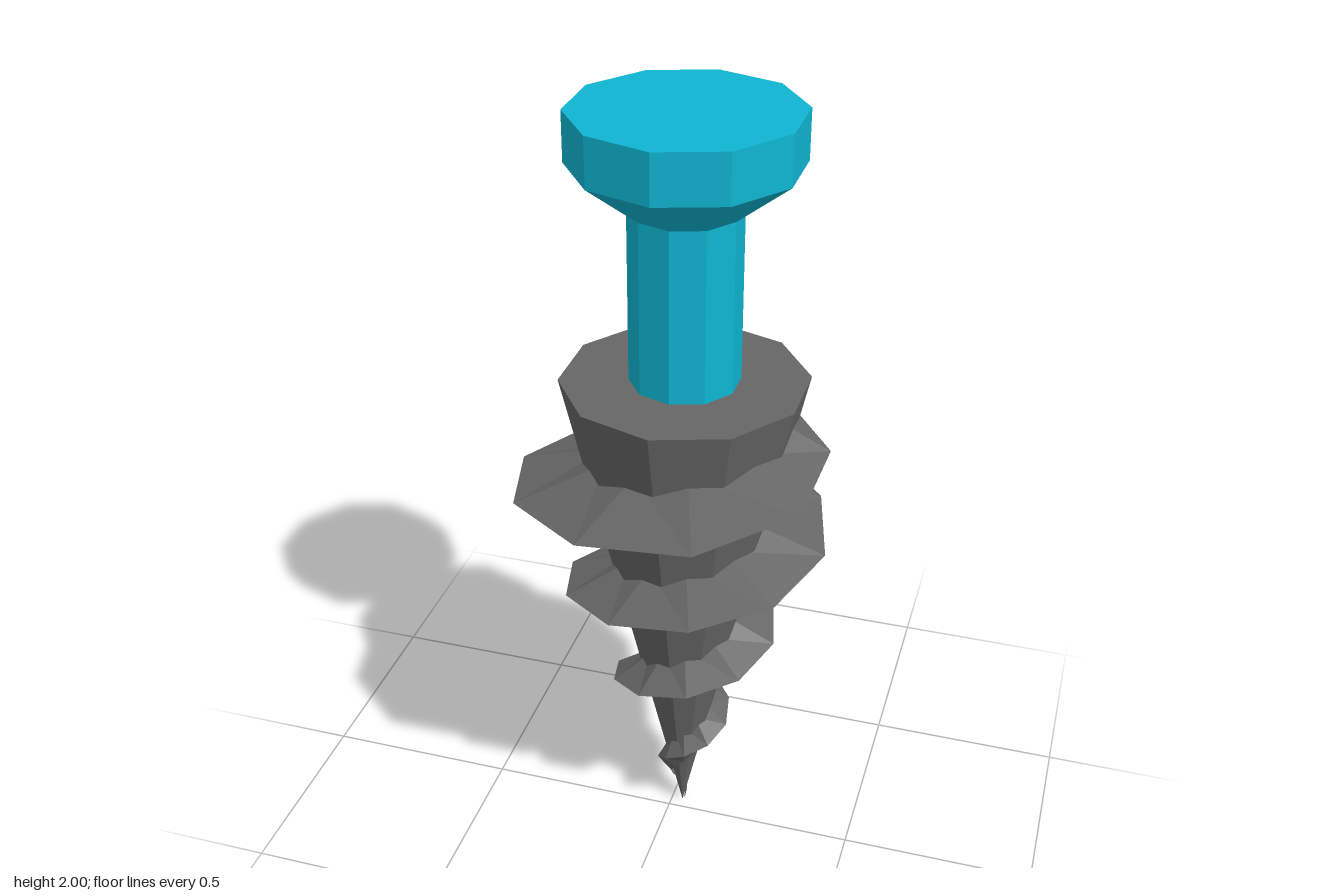
import * as THREE from 'three';

const SIDES = 10;
const PITCH = 0.3;

const paint = (color) => new THREE.MeshStandardMaterial({ color, flatShading: true });

// Conical thread: a wedge section swept up a rising, widening helix
function threadGeometry() {
  const fade = { 38: 0.427, 39: 0.36, 40: 0.268 }; // outer radius where the thread runs out
  const steps = 40;
  const rings = [];
  for (let i = 0; i <= steps; i++) {
    const degrees = -1314 + i * 36;
    const angle = THREE.MathUtils.degToRad(degrees);
    const y = 1.125 + PITCH * degrees / 360;
    const outer = fade[i] ?? 0.402 * y;
    const half = i === steps ? 0 : Math.min(0.062, 0.02 + 0.3 * y);
    const point = (r, h) => [Math.sin(angle) * r, Math.max(0, h), Math.cos(angle) * r];
    const root = 0.19 * y;
    rings.push([point(root, y + half), point(outer, y), point(root, y - half)]);
  }
  const positions = [];
  for (let i = 0; i < steps; i++) {
    const a = rings[i], b = rings[i + 1];
    for (let k = 0; k < 2; k++) {
      positions.push(...a[k], ...a[k + 1], ...b[k + 1]);
      positions.push(...a[k], ...b[k + 1], ...b[k]);
    }
  }
  const geometry = new THREE.BufferGeometry();
  geometry.setAttribute('position', new THREE.Float32BufferAttribute(positions, 3));
  geometry.computeVertexNormals();
  return geometry;
}

export function createModel() {
  const group = new THREE.Group();
  group.name = 'screw';
  const metal = paint(0x666666);
  const teal = paint(0x0fb5d2);
  const threadMetal = metal.clone();
  threadMetal.side = THREE.DoubleSide;

  // Everything turns about one slightly off-centre axis
  const add = (name, geometry, material, y = 0) => {
    const mesh = new THREE.Mesh(geometry, material);
    mesh.name = name;
    mesh.position.set(0.03, y, -0.03);
    group.add(mesh);
  };
  const prism = (name, top, bottom, y0, y1, material, open = false) =>
    add(name, new THREE.CylinderGeometry(top, bottom, y1 - y0, SIDES, 1, open), material, (y0 + y1) / 2);

  // Pointed core and its thread
  prism('core', 0.302, 0, 0, 1.34, metal);
  add('thread', threadGeometry(), threadMetal);

  // Handle: shaft, flared neck and cap
  prism('shaft', 0.134, 0.134, 1.34, 1.77, teal, true);
  prism('neck', 0.272, 0.134, 1.77, 1.88, teal, true);
  prism('cap', 0.272, 0.272, 1.88, 2, teal);

  return group;
}
